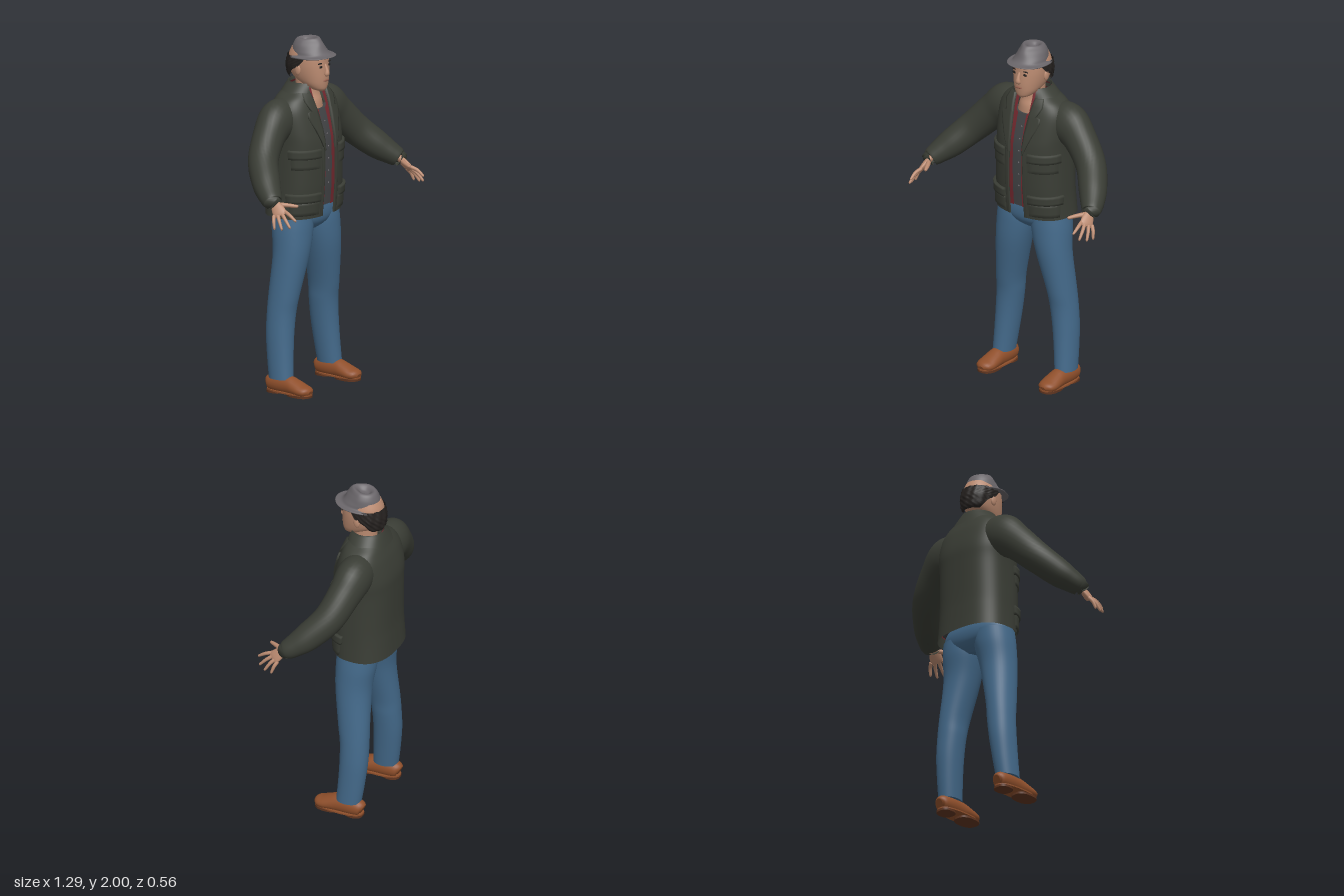
import * as THREE from 'three';

const mat = (name, color, side = THREE.FrontSide) => {
  const m = new THREE.MeshStandardMaterial({ color, side });
  m.name = name;
  return m;
};

// Catmull-Rom resampling of rows of numbers
function smooth(rows, k = 5) {
  const out = [], n = rows.length;
  for (let i = 0; i < n - 1; i++) {
    const a = rows[Math.max(i - 1, 0)], b = rows[i], c = rows[i + 1], d = rows[Math.min(i + 2, n - 1)];
    for (let s = 0; s < k; s++) {
      const t = s / k;
      out.push(b.map((v, j) => {
        const c1 = c[j] - a[j];
        const c2 = 2 * a[j] - 5 * v + 4 * c[j] - d[j];
        const c3 = 3 * (v - c[j]) + d[j] - a[j];
        return v + 0.5 * t * (c1 + t * (c2 + t * c3));
      }));
    }
  }
  out.push(rows[n - 1].slice());
  return out;
}

// Surface through a list of point rings, with optional flat end caps
function skin(rings, closed = true) {
  const pos = [], idx = [], w = rings[0].length;
  rings.forEach(r => r.forEach(p => pos.push(p.x, p.y, p.z)));
  for (let i = 0; i < rings.length - 1; i++)
    for (let j = 0; j < (closed ? w : w - 1); j++) {
      const a = i * w + j, b = i * w + (j + 1) % w;
      idx.push(a, b, b + w, a, b + w, a + w);
    }
  if (closed) [rings[0], rings[rings.length - 1]].forEach((r, e) => {
    const base = pos.length / 3, c = new THREE.Vector3();
    r.forEach(p => { pos.push(p.x, p.y, p.z); c.addScaledVector(p, 1 / w); });
    pos.push(c.x, c.y, c.z);
    for (let j = 0; j < w; j++) {
      const a = base + j, b = base + (j + 1) % w;
      if (e) idx.push(a, b, base + w);
      else idx.push(b, a, base + w);
    }
  });
  const g = new THREE.BufferGeometry();
  g.setAttribute('position', new THREE.Float32BufferAttribute(pos, 3));
  g.setIndex(idx);
  g.computeVertexNormals();
  return g;
}

// Section row: [y, cx, cz, rx, rz, squareness, open half angle at the front]
const pow = (v, n) => Math.sign(v) * Math.abs(v) ** (2 / n);
const pt = ([y, cx, cz, a, b, n], t, d = 0) =>
  new THREE.Vector3(cx + (a + d) * pow(Math.sin(t), n), y, cz + (b + d) * pow(Math.cos(t), n));
const ang = (x, a, n) => Math.asin(Math.min(1, x / a) ** (n / 2));

function loft(secs, { open = false, d = 0, seg = 40 } = {}) {
  return skin(secs.map(s => Array.from({ length: open ? seg + 1 : seg }, (_, j) => {
    const t0 = open ? s[6] : 0;
    return pt(s, t0 + (j / seg) * (2 * Math.PI - 2 * t0), d);
  })), !open);
}

// Section at height y out of a dense list
function at(secs, y) {
  const i = Math.max(0, secs.findIndex(s => s[0] > y) - 1);
  const t = (y - secs[i][0]) / (secs[i + 1][0] - secs[i][0]);
  return secs[i].map((v, j) => v + t * (secs[i + 1][j] - v));
}

// Tube along rows [x, y, z, r1, r2]; r1 lies along the side direction
function sweep(rows, side, k = 5, seg = 20) {
  const s = smooth(rows, k), P = s.map(r => new THREE.Vector3(r[0], r[1], r[2]));
  return skin(s.map((r, i) => {
    const T = P[Math.min(i + 1, P.length - 1)].clone().sub(P[Math.max(i - 1, 0)]).normalize();
    const N = side ? side.clone().addScaledVector(T, -side.dot(T)) : new THREE.Vector3(0, 1, 0).cross(T);
    N.normalize();
    const B = T.clone().cross(N);
    return Array.from({ length: seg }, (_, j) => {
      const t = (j / seg) * 2 * Math.PI;
      return P[i].clone().addScaledVector(N, r[3] * Math.cos(t)).addScaledVector(B, r[4] * Math.sin(t));
    });
  }));
}

// Raised cloth panel on a lofted body, rows [y, inner x, outer x] going up
function panel(body, rows, d) {
  const cols = 9, last = rows.length - 1;
  const ring = ([y, x0, x1], off) => {
    const s = at(body, y), t0 = ang(x0, s[3], s[5]), t1 = ang(x1, s[3], s[5]);
    return Array.from({ length: cols }, (_, j) => {
      const u = Math.min(1, Math.max(0, (j - 1) / (cols - 3)));
      return pt(s, t0 + (t1 - t0) * u, j === 0 || j === cols - 1 ? -0.004 : off);
    });
  };
  return skin([ring(rows[0], -0.004), ...rows.map(r => ring(r, d)), ring(rows[last], -0.004)], false);
}

function mirrored(g) {
  const m = g.clone().scale(-1, 1, 1), a = m.index.array;
  for (let i = 0; i < a.length; i += 3) [a[i], a[i + 1]] = [a[i + 1], a[i]];
  m.computeVertexNormals();
  return m;
}

function bend(g, rule) {
  const p = g.attributes.position, v = new THREE.Vector3();
  for (let i = 0; i < p.count; i++) { v.fromBufferAttribute(p, i); rule(v); p.setXYZ(i, v.x, v.y, v.z); }
  g.computeVertexNormals();
  return g;
}

const blob = (x, y, z, a, b, c) => new THREE.SphereGeometry(1, 16, 12).scale(a, b, c).translate(x, y, z);

export function createModel() {
  const root = new THREE.Group();
  const M = {
    skin: mat('skin', 0xbb8b71), lips: mat('lips', 0x94604f), hair: mat('hair', 0x25211f, THREE.DoubleSide),
    hat: mat('hat felt', 0x6a666a), jacket: mat('jacket cloth', 0x3a3d35, THREE.DoubleSide),
    shirt: mat('undershirt', 0x434446), red: mat('red shirt', 0x74292f, THREE.DoubleSide),
    denim: mat('denim', 0x446a8b), leather: mat('shoe leather', 0x8f4f2b), sole: mat('shoe sole', 0x5f3520),
  };
  const add = (name, g, m) => { const o = new THREE.Mesh(g, m); o.name = name; root.add(o); };
  const pair = (name, g, m) => { add(name + 'Left', g, m); add(name + 'Right', mirrored(g), m); };

  // Jacket body, open at the front
  const rows = [
    [1.0, .235, -.115, .17, .055], [1.1, .229, -.108, .172, .05], [1.2, .226, -.103, .174, .045],
    [1.4, .222, -.105, .175, .042], [1.5, .227, -.113, .166, .045], [1.6, .222, -.115, .14, .055],
    [1.66, .19, -.113, .117, .06], [1.7, .135, -.11, .1, .065], [1.735, .09, -.105, .088, .06],
  ];
  const body = smooth(rows.map(([y, a, cz, b, gap]) => [y, 0, cz, a, b, 2.5, ang(gap, a, 2.5)]));
  add('jacketBody', loft(body, { open: true, seg: 56 }), M.jacket);
  add('jacketCollar', loft(smooth([
    [1.67, 0, -.115, .165, .115, 2.2, .7], [1.705, 0, -.11, .132, .106, 2.2, .65], [1.74, 0, -.105, .1, .096, 2.1, .75],
    [1.747, 0, -.105, .09, .089, 2, .8], [1.70, 0, -.105, .08, .08, 2, .8],
  ]), { open: true }), M.jacket);
  pair('lapel', panel(body, [[1.38, .043, .05], [1.44, .045, .075], [1.5, .046, .1], [1.57, .052, .13], [1.6, .055, .125],
    [1.605, .055, .1], [1.62, .058, .11], [1.66, .062, .125], [1.7, .066, .11]], .01), M.jacket);

  // Pockets with flaps, and the front hem bands
  const box = (y0, y1, x0, x1, d) => panel(body, [0, .25, .5, .75, 1].map(t => [y0 + (y1 - y0) * t, x0, x1]), d);
  pair('chestPocket', box(1.285, 1.36, .085, .215, .007), M.jacket);
  pair('chestFlap', box(1.345, 1.395, .08, .218, .013), M.jacket);
  pair('hipPocket', box(1.02, 1.1, .085, .222, .009), M.jacket);
  pair('hipFlap', box(1.095, 1.145, .08, .225, .016), M.jacket);
  pair('frontBand', box(1.002, 1.4, .05, .07, .005), M.jacket);

  // Shirts underneath
  const inner = body.filter(s => s[0] > 1.04);
  add('redShirt', loft(inner.map(s => [...s.slice(0, 6), ang(s[0] > 1.6 ? .047 : .031, s[3], 2.5)]), { open: true, d: -.011 }), M.red);
  add('undershirt', loft(inner.filter(s => s[0] < 1.61), { d: -.018 }), M.shirt);
  for (let i = 0; i < 6; i++) {
    const y = 1.18 + i * .07;
    add('button', blob(.008, y, pt(at(body, y), 0, -.017).z, .005, .005, .003), M.hat);
  }

  // Sleeves
  pair('sleeve', sweep([
    [.10, 1.57, -.13, .085, .09], [.215, 1.553, -.13, .1, .122], [.31, 1.487, -.117, .09, .1],
    [.42, 1.377, -.075, .085, .088], [.505, 1.283, .01, .079, .079], [.55, 1.235, .068, .067, .064],
    [.575, 1.208, .106, .055, .053], [.577, 1.205, .11, .045, .043]], null, 6, 28), M.jacket);

  // Hands
  const across = new THREE.Vector3(-.035, .03, .06);
  pair('palm', sweep([
    [.558, 1.225, .09, .024, .02], [.572, 1.203, .122, .025, .018], [.583, 1.178, .147, .035, .017],
    [.592, 1.155, .17, .039, .014], [.597, 1.143, .18, .034, .009]], across), M.skin);
  const tips = [[.585, 1.127, .272], [.61, 1.092, .252], [.63, 1.08, .212], [.638, 1.078, .168]];
  tips.forEach(([x, y, z], i) => {
    const k = i / 3, a = [.576 + .034 * k, 1.165 - .025 * k, .196 - .052 * k];
    const m = [(a[0] + x) / 2 + .004, (a[1] + y) / 2 + .006, (a[2] + z) / 2];
    pair('finger', sweep([[...a, .011, .011], [...m, .01, .01], [x, y, z, .007, .007],
      [x + .001, y - .003, z + .004, .002, .002]], across, 4, 10), M.skin);
  });
  pair('thumb', sweep([[.57, 1.195, .135, .014, .014], [.538, 1.192, .185, .013, .012],
    [.515, 1.188, .23, .009, .009], [.512, 1.187, .237, .003, .003]], null, 4, 10), M.skin);

  // Jeans
  add('jeansHips', loft(smooth([
    [.905, 0, -.1, .06, .06, 2], [.935, 0, -.1, .17, .098, 2], [.97, 0, -.101, .225, .116, 2.2],
    [1.02, 0, -.102, .226, .12, 2.3], [1.08, 0, -.1, .2, .11, 2.3]])), M.denim);
  pair('jeansLeg', loft(smooth([
    [.085, .222, -.1, .058, .073, 2.1], [.2, .214, -.112, .064, .077, 2.1], [.33, .204, -.121, .071, .081, 2.1],
    [.45, .192, -.12, .076, .083, 2.1], [.56, .18, -.11, .08, .09, 2.1], [.78, .143, -.09, .101, .102, 2.1],
    [.92, .123, -.096, .115, .113, 2.1], [1.0, .118, -.1, .112, .112, 2.1]], 6)), M.denim);

  // Shoes
  pair('shoe', bend(sweep([
    [.222, .045, -.187, .022, .026], [.222, .05, -.172, .042, .045], [.222, .052, -.12, .05, .056],
    [.222, .05, -.045, .051, .055], [.222, .044, .0, .055, .046], [.223, .034, .05, .057, .036],
    [.223, .031, .085, .046, .028], [.223, .026, .103, .02, .014]], null, 5, 24), v => { v.y = Math.max(v.y, .012); }), M.leather);
  const slab = (y0, y1, cz, rx, rz) => loft([[y0, .222, cz, rx, rz, 2.5], [y1, .222, cz, rx, rz, 2.5]]);
  pair('welt', slab(.012, .02, -.041, .058, .147), M.leather);
  pair('frontSole', slab(0, .013, .028, .055, .075), M.sole);
  pair('heel', slab(0, .013, -.135, .048, .052), M.sole);

  // Neck and head
  add('neck', loft(smooth([[1.58, 0, -.1, .1, .098, 2], [1.64, 0, -.09, .08, .085, 2],
    [1.69, 0, -.087, .064, .068, 2], [1.77, 0, -.09, .062, .066, 2]])), M.skin);
  const head = smooth([
    [1.705, 0, .0, .022, .028, 2], [1.718, 0, -.013, .046, .05, 2.1], [1.745, 0, -.038, .067, .08, 2.2],
    [1.78, 0, -.062, .081, .107, 2.2], [1.82, 0, -.073, .09, .117, 2.2], [1.86, 0, -.076, .094, .117, 2.2],
    [1.9, 0, -.077, .093, .115, 2.1], [1.94, 0, -.077, .08, .1, 2]]);
  add('head', loft(head), M.skin);
  const faceZ = (x, y) => { const s = at(head, y); return pt(s, ang(x, s[3], s[5])).z; };
  add('nose', sweep([[0, 1.86, .034, .008, .007], [0, 1.83, .046, .01, .011], [0, 1.806, .05, .016, .014],
    [0, 1.795, .045, .013, .008]], new THREE.Vector3(1, 0, 0), 4, 14), M.skin);
  pair('eye', blob(.036, 1.848, faceZ(.036, 1.848), .015, .007, .004), M.hair);
  pair('eyebrow', blob(.038, 1.868, faceZ(.038, 1.868), .021, .004, .005), M.hair);
  add('mouth', blob(0, 1.767, faceZ(0, 1.767), .025, .006, .005), M.lips);
  pair('ear', blob(.094, 1.825, -.082, .01, .03, .019), M.skin);

  // Hair, wavy at the nape
  add('hair', bend(loft(smooth([
    [1.768, 0, -.1, .072, .095, 2.1, 2.2], [1.785, 0, -.098, .088, .108, 2.1, 2.05], [1.82, 0, -.094, .097, .116, 2.1, 1.8],
    [1.85, 0, -.09, .102, .12, 2.1, 1.45], [1.9, 0, -.082, .1, .116, 2.1, 1.15]]), { open: true, seg: 60 }), v => {
    const t = Math.atan2(v.x, v.z + .09), f = 1 + .035 * Math.sin(t * 17 + v.y * 90) * Math.cos(v.y * 120 + t * 3);
    v.x *= f;
    v.z = -.09 + (v.z + .09) * f;
  }), M.hair);

  // Hat with a creased, front-pinched crown and a turned-up front brim
  const hatRows = [
    [1.893, 0, -.065, .09, .108], [1.892, 0, -.052, .112, .136], [1.899, 0, -.052, .114, .138], [1.908, 0, -.06, .094, .116],
    [1.93, 0, -.07, .088, .104], [1.965, 0, -.075, .08, .092], [1.99, 0, -.078, .066, .078], [2.0, 0, -.078, .052, .064],
    [1.994, 0, -.08, .036, .046], [1.978, 0, -.083, .018, .026], [1.974, 0, -.085, .004, .006]];
  add('hat', bend(loft(smooth(hatRows.map(r => [...r, 2]), 4), { seg: 48 }), v => {
    if (v.y > 1.925) {
      const up = Math.min(1, (v.y - 1.925) / .05), front = Math.max(0, v.z + .08) / .08;
      v.x *= 1 - .35 * up * Math.min(1, front);
      v.y -= .1 * up * Math.max(0, -.03 - v.z);
    } else {
      const low = Math.max(0, 1 - (v.y - 1.89) / .035);
      v.y += (v.z > 0 ? .15 : .06) * v.z * low + .2 * Math.max(0, Math.abs(v.x) - .085);
    }
  }), M.hat);

  return root;
}
